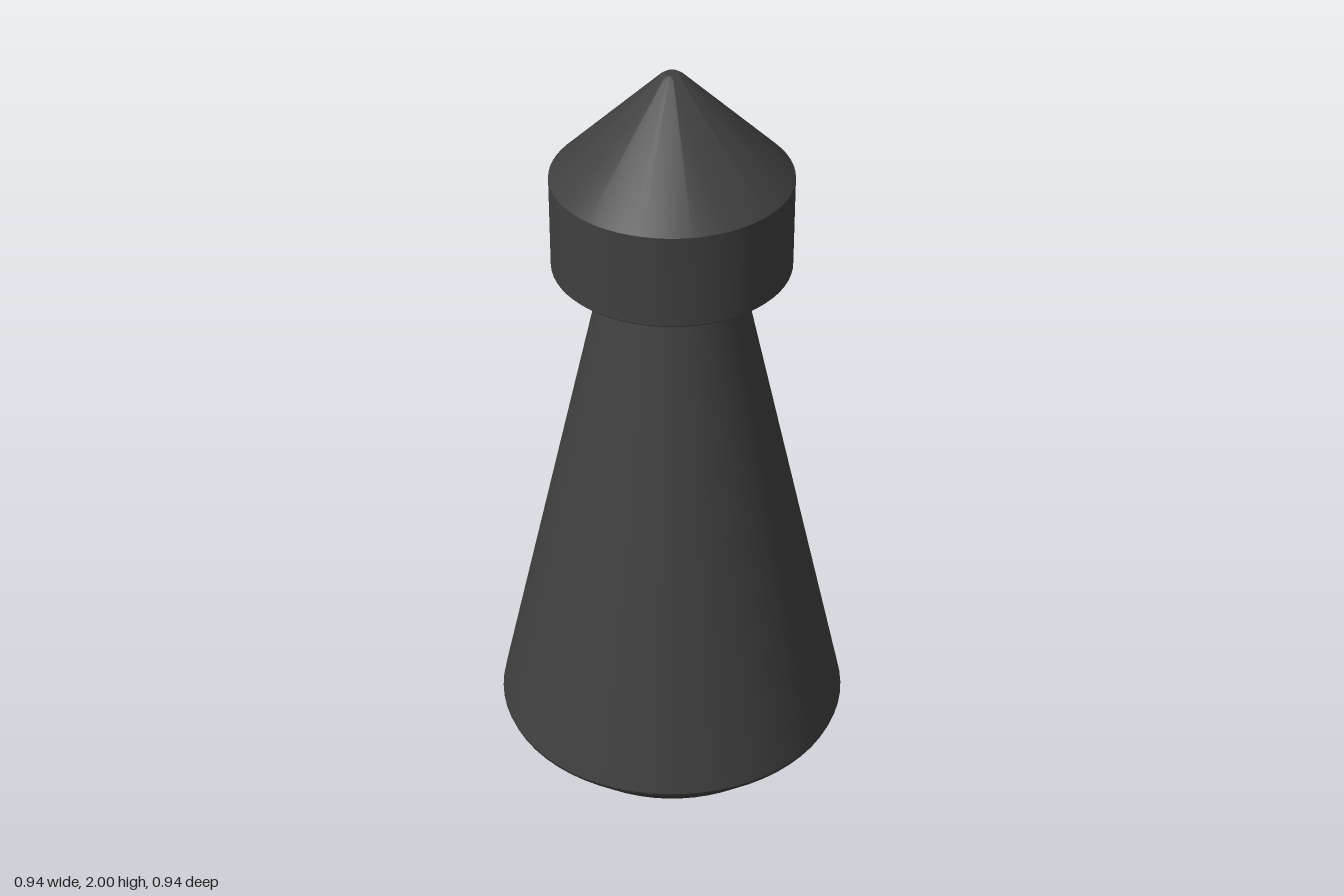
import * as THREE from 'three';
import { toCreasedNormals } from 'three/addons/utils/BufferGeometryUtils.js';

const charcoal = new THREE.MeshStandardMaterial({ color: 0x404040 });
charcoal.name = 'charcoal';

// Turned part from [radius, height] pairs, bottom to top, with crisp edges
function turned(name, profile) {
  const points = profile.map(([r, y]) => new THREE.Vector2(r, y));
  const geometry = toCreasedNormals(new THREE.LatheGeometry(points, 64), 0.5);
  const mesh = new THREE.Mesh(geometry, charcoal);
  mesh.name = name;
  return mesh;
}

export function createModel() {
  const model = new THREE.Group();
  model.name = 'gamePiece';

  // Tapered body with a bevelled foot
  model.add(turned('body', [
    [0, 0], [0.375, 0], [0.384, 0.006], [0.467, 0.092], [0.472, 0.105],
    [0.468, 0.125], [0.167, 1.48],
  ]));

  // Cylindrical head with a blunt conical cap
  model.add(turned('head', [
    [0, 1.472], [0.298, 1.472], [0.303, 1.477], [0.303, 1.722],
    [0.03, 1.992], [0.018, 2], [0, 2],
  ]));

  return model;
}
